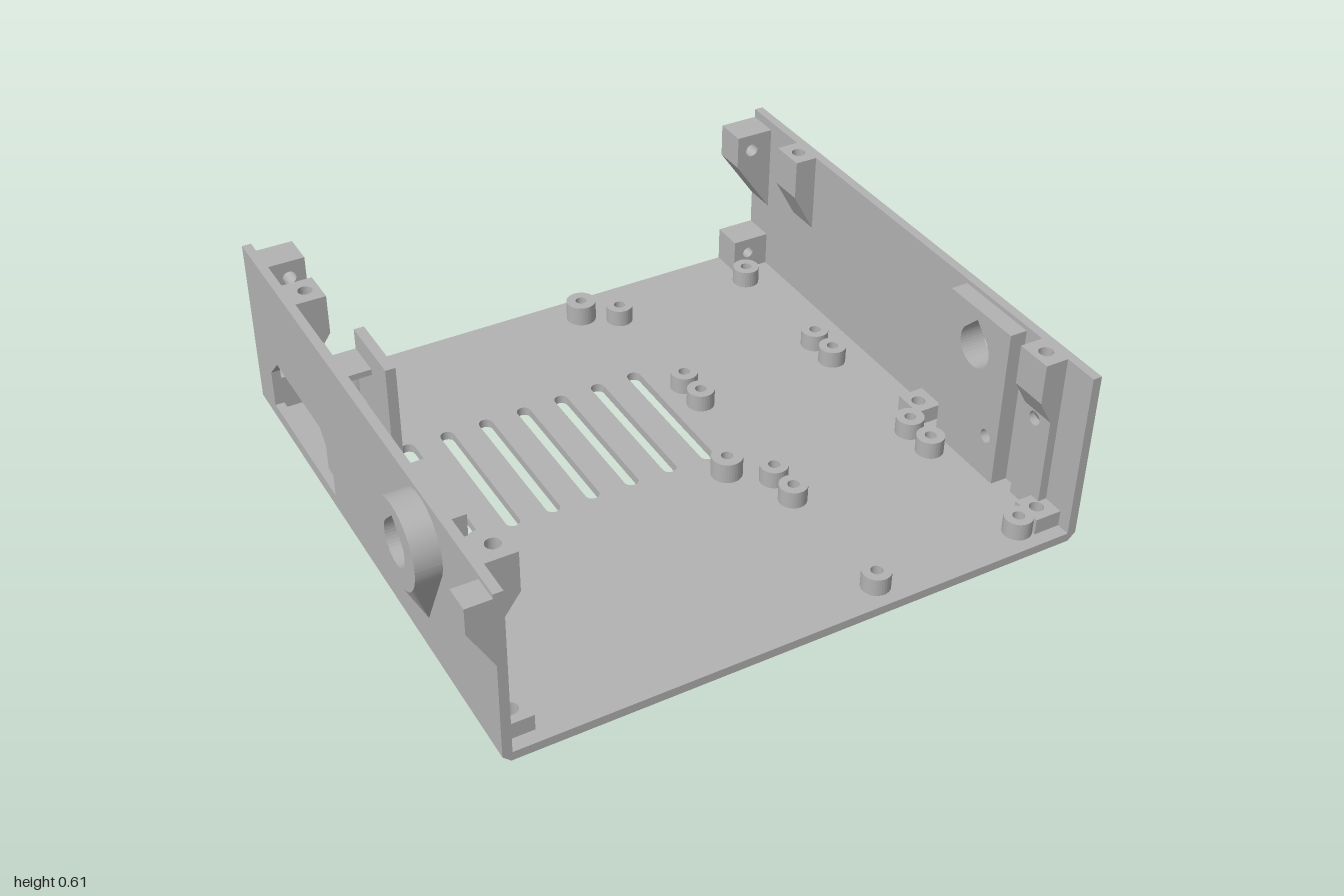
import * as THREE from 'three';

const grey = new THREE.MeshStandardMaterial({ color: 0xb2b2b2 });
grey.name = 'grey plastic';

export function createModel() {
  const root = new THREE.Group();
  root.name = 'enclosureBase';
  const add = (name, geo) => {
    const m = new THREE.Mesh(geo, grey);
    m.name = name;
    root.add(m);
    return m;
  };
  const poly = (...pts) => new THREE.Shape(pts.map(p => new THREE.Vector2(...p)));
  const rect = (u0, u1, v0, v1) => poly([u0, v0], [u1, v0], [u1, v1], [u0, v1]);
  const disc = (u, v, r) => new THREE.Shape().absarc(u, v, r, 0, Math.PI * 2);
  const pierce = (shape, ...holes) => { shape.holes.push(...holes); return shape; };
  const extrude = (shape, depth) =>
    new THREE.ExtrudeGeometry(shape, { depth, bevelEnabled: false, curveSegments: 16 });
  // Extrusions along each axis: shapes are given in (z,y), (x,z) and (x,y)
  const alongX = (s, x0, x1) => extrude(s, x1 - x0).rotateY(-Math.PI / 2).translate(x1, 0, 0);
  const alongY = (s, y0, y1) => extrude(s, y1 - y0).rotateX(Math.PI / 2).translate(0, y1, 0);
  const alongZ = (s, z0, z1) => extrude(s, z1 - z0).translate(0, 0, z0);
  const box = (name, x0, x1, y0, y1, z0, z1) => add(name,
    new THREE.BoxGeometry(x1 - x0, y1 - y0, z1 - z0)
      .translate((x0 + x1) / 2, (y0 + y1) / 2, (z0 + z1) / 2));

  const Z = 0.925, TOP = 0.605, FLOOR = 0.03, CY = 0.455, CZ = 0.463;
  const teardrop = () => {
    const r = 0.07, s = new THREE.Shape();
    s.absarc(CZ, CY, r, Math.PI * 0.75, Math.PI * 2.25, false);
    s.lineTo(CZ, CY + r * Math.SQRT2);
    s.closePath();
    return s;
  };

  // Floor with ventilation slots and screw holes
  const floor = rect(-0.895, 0.975, -Z, Z);
  for (let i = 0; i < 7; i++) {
    const x = -0.615 + i * 0.137, r = 0.023;
    const slot = new THREE.Shape();
    slot.absarc(x, 0.067, r, 0, Math.PI, false);
    slot.absarc(x, -0.417, r, Math.PI, Math.PI * 2, false);
    slot.closePath();
    floor.holes.push(slot);
  }
  const screwZ = [0.212, 0.828];
  for (const x of [-0.847, 0.92]) for (const z of screwZ) floor.holes.push(disc(x, z, 0.023));
  add('floor', alongY(floor, 0, FLOOR));

  // Side walls and the chamfers under them
  add('rightSideWall', alongX(pierce(rect(-Z, Z, 0.025, TOP), teardrop(),
    disc(0.74, 0.355, 0.024), disc(0.565, 0.18, 0.023)), 0.97, 1));
  const opening = poly([-0.79, 0.07], [-0.26, 0.07], [-0.26, 0.2], [-0.34, 0.28], [-0.71, 0.28], [-0.79, 0.2]);
  add('leftSideWall', alongX(pierce(rect(-Z, Z, 0.025, TOP), teardrop(), opening), -0.92, -0.89));
  add('rightChamfer', alongZ(poly([0.975, 0], [1, 0.025], [0.975, 0.025]), -Z, Z));
  add('leftChamfer', alongZ(poly([-0.895, 0], [-0.895, 0.025], [-0.92, 0.025]), -Z, Z));

  // Thickened pads around the side holes
  add('leftPad', alongX(pierce(rect(0.325, 0.595, FLOOR, 0.59), teardrop()), -0.89, -0.84));
  add('rightPad', alongX(pierce(rect(0.325, 0.62, FLOOR, 0.59), teardrop(),
    disc(0.565, 0.18, 0.023)), 0.912, 0.97));
  add('rightThinPad', alongX(pierce(rect(0.68, 0.81, FLOOR, 0.47), disc(0.74, 0.355, 0.024)), 0.94, 0.97));

  // Fixings on both sides; wall = inner wall face, d = inward direction
  for (const [side, wall, d, tabW] of [['left', -0.89, 1, 0.098], ['right', 0.97, -1, 0.077]]) {
    const at = u => wall + d * u;
    const span = (a, b) => [Math.min(at(a), at(b)), Math.max(at(a), at(b))];

    // Top screw tabs with sloping supports
    for (const z of [-0.59, 0.75]) {
      const hx = at(tabW - 0.045);
      add(side + 'TopTab', alongY(pierce(rect(...span(0, tabW), z - 0.06, z + 0.06), disc(hx, z, 0.023)), 0.47, TOP));
      add(side + 'TabSupport', alongZ(poly([at(0), 0.47], [at(tabW), 0.47], [at(0), 0.33]), z - 0.06, z + 0.06));
    }

    // Rear corner brackets
    const hook = poly([at(0), 0.575], [at(0.133), 0.575], [at(0.133), 0.46], [at(0), 0.27]);
    add(side + 'RearBracket', alongZ(pierce(hook, disc(at(0.077), 0.515, 0.023)), -Z, -0.815));
    add(side + 'RearFoot', alongZ(pierce(rect(...span(0, 0.133), FLOOR, 0.15), disc(at(0.077), 0.095, 0.02)), -Z, -0.815));

    // Floor screw blocks
    for (const z of screwZ) {
      const hx = side === 'left' ? -0.847 : 0.92;
      add(side + 'ScrewBlock', alongY(pierce(rect(...span(0, 0.09), z - 0.052, z + 0.052), disc(hx, z, 0.023)), FLOOR, 0.085));
    }
  }

  // Circuit board standoffs
  const standoff = (x, z, r, h) =>
    add('standoff', alongY(pierce(disc(x, z, r), disc(x, z, 0.019)), FLOOR, h));
  for (const x of [-0.625, 0.215]) for (const z of [-0.818, 0.178]) standoff(x, z, 0.051, 0.1);
  for (const x of [0.328, 0.843])
    for (const z of [-0.745, -0.29, -0.18, 0.275, 0.387, 0.84]) standoff(x, z, 0.046, 0.09);

  // Card holder beside the left wall
  box('holderPlate', -0.755, -0.722, FLOOR, 0.54, -0.415, -0.17);
  box('holderRail', -0.89, -0.86, FLOOR, 0.54, -0.395, -0.045);
  box('holderBridge', -0.89, -0.75, 0.45, 0.47, -0.415, -0.29);

  // Outer boss: ring, with a cone running down to a point on the wall
  const R = 0.137, DROP = 0.305, N = 64;
  add('bossRing', alongX(pierce(disc(CZ, CY, R), teardrop()), -1, -0.92));
  const pos = [], idx = [];
  for (let i = 0; i <= N; i++) {
    const a = i / N * Math.PI * 2;
    const y = CY + R * Math.sin(a), z = CZ + R * Math.cos(a);
    const underTip = -Math.sin(a) > R / DROP;
    pos.push(-1, y, z);
    pos.push(-0.92, underTip ? CY - DROP : y, underTip ? CZ : z);
    if (i < N) {
      const f = i * 2;
      idx.push(f, f + 1, f + 3, f, f + 3, f + 2);
    }
  }
  const cone = new THREE.BufferGeometry();
  cone.setAttribute('position', new THREE.Float32BufferAttribute(pos, 3));
  cone.setIndex(idx);
  cone.computeVertexNormals();
  add('bossSkirt', cone);

  // Small outer hook at the front edge
  add('outerHook', alongZ(poly([-0.92, 0.36], [-0.92, 0.59], [-1, 0.59], [-1, 0.505]), 0.84, Z));

  return root;
}
